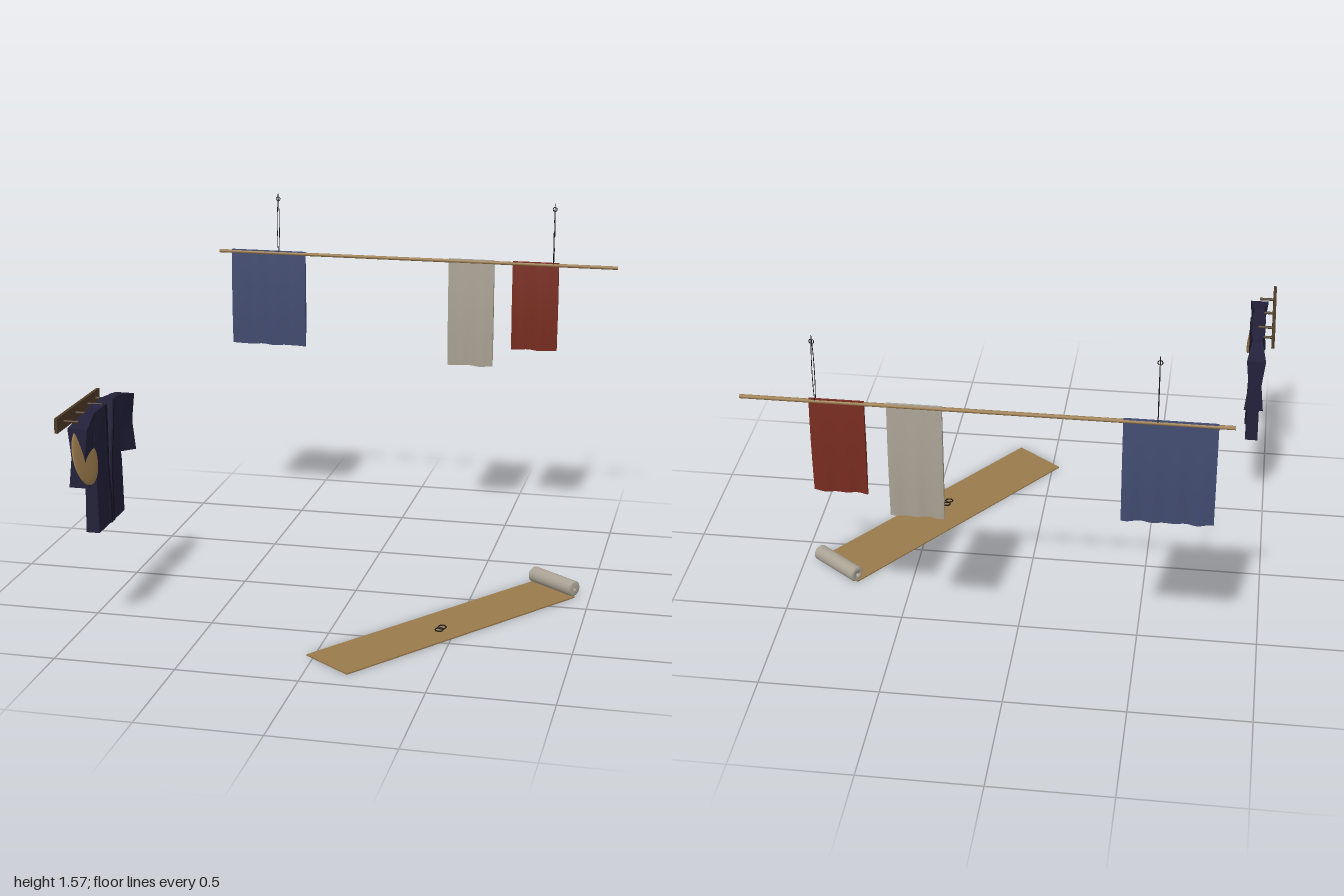
import * as THREE from 'three';

const mat = (name, color) => {
  const m = new THREE.MeshStandardMaterial({ color });
  m.name = name;
  return m;
};
const lerp = THREE.MathUtils.lerp;

export function createModel() {
  const root = new THREE.Group();
  const tan = mat('bamboo tan', 0x9a7a4c);
  const blue = mat('indigo cloth', 0x424c70);
  const white = mat('undyed cloth', 0xaaa294);
  const red = mat('rust cloth', 0x782c20);
  const navy = mat('navy robe', 0x23213a);
  const lapelDark = mat('dark collar', 0x181628);
  const brown = mat('dark wood', 0x4c3a26);
  const black = mat('black cord', 0x1c1c1c);

  const add = (parent, name, geo, material, x = 0, y = 0, z = 0) => {
    const mesh = new THREE.Mesh(geo, material);
    mesh.name = name;
    mesh.position.set(x, y, z);
    parent.add(mesh);
    return mesh;
  };
  const deform = (geo, rule) => {
    const p = geo.attributes.position;
    for (let i = 0; i < p.count; i++) p.setXYZ(i, ...rule(p.getX(i), p.getY(i), p.getZ(i)));
    geo.computeVertexNormals();
    return geo;
  };

  // Hanging pole with cloths and cord loops
  const line = new THREE.Group();
  line.name = 'clothLine';
  line.position.z = -0.9;
  root.add(line);
  add(line, 'pole', new THREE.CylinderGeometry(0.008, 0.008, 1.86, 12), tan, 0.07, 1.29).rotation.z = Math.PI / 2;

  const cloth = (name, x0, x1, bottom, material) => {
    const geo = deform(new THREE.BoxGeometry(1, 1, 1, 32, 20, 1), (px, py, pz) => {
      const t = 0.5 - py;
      const x = lerp(x0, x1, px + 0.5);
      const half = 0.004 + 0.007 * Math.sin(Math.PI * t);
      const wave = 0.004 * t * Math.sin(x * 70);
      return [x, lerp(1.301, bottom, t) + 0.002 * t * Math.sin(x * 45), 2 * pz * half + wave];
    });
    add(line, name, geo, material);
  };
  cloth('blueCloth', -0.8, -0.447, 0.852, blue);
  cloth('paleCloth', 0.23, 0.44, 0.802, white);
  cloth('redCloth', 0.525, 0.735, 0.892, red);

  const side = [[1.31, 0.009], [1.36, 0.016], [1.42, 0.018], [1.49, 0.014], [1.545, 0.005]];
  const loopPoints = [[1.281, 0], ...side, [1.57, 0], ...side.map(([y, z]) => [y, -z]).reverse()];
  for (const x of [-0.575, 0.71]) {
    const path = new THREE.CatmullRomCurve3(loopPoints.map(([y, z]) => new THREE.Vector3(0, y, z)), true);
    add(line, 'hangingCord', new THREE.TubeGeometry(path, 60, 0.0015, 5, true), black, x);
    add(line, 'cordRing', new THREE.TorusGeometry(0.009, 0.002, 6, 20), black, x, 1.545);
  }

  // Unrolled mat with its rolled end
  const matGroup = new THREE.Group();
  matGroup.name = 'unrolledMat';
  matGroup.position.set(0.836, 0, -0.198);
  matGroup.rotation.y = -0.6435;
  root.add(matGroup);
  add(matGroup, 'matSheet', new THREE.BoxGeometry(0.25, 0.006, 1.278), tan, 0, 0.003, 0.639);
  const h = 0.125;
  const rollProfile = [[0.008, -h], [0.028, -h], [0.034, -h + 0.006], [0.034, h - 0.006], [0.028, h], [0.008, h], [0.008, -h]];
  const roll = new THREE.LatheGeometry(rollProfile.map(([r, y]) => new THREE.Vector2(r, y)), 28);
  add(matGroup, 'matRoll', roll, white, 0, 0.04).rotation.z = Math.PI / 2;

  // Small cord tied in a figure of eight on the mat
  for (const [x, z] of [[0.447, 0.361], [0.44, 0.39]]) {
    add(root, 'cordLoop', new THREE.TorusGeometry(0.016, 0.003, 6, 24), black, x, 0.012, z).rotation.x = Math.PI / 2 + 0.12;
  }

  // Peg rack
  const rack = new THREE.Group();
  rack.name = 'pegRack';
  root.add(rack);
  add(rack, 'rackBoard', new THREE.BoxGeometry(0.013, 0.06, 0.475), brown, -0.9935, 0.93, 0.657);
  for (const z of [0.465, 0.555, 0.69, 0.82]) {
    add(rack, 'peg', new THREE.CylinderGeometry(0.006, 0.006, 0.065, 10), brown, -0.96, 0.93, z).rotation.z = Math.PI / 2;
  }

  // Robe: two mirrored halves, each a body panel and a sleeve
  const robe = new THREE.Group();
  robe.name = 'robe';
  root.add(robe);
  const halfDepth = (d, y) => {
    const shoulder = d < 0.14 ? lerp(0.036, 0.019, d / 0.14) : lerp(0.019, 0.041, (d - 0.14) / 0.14);
    return y < 0.66 ? lerp(0.028, 0.024, (y - 0.43) / 0.23) : lerp(0.022, shoulder, (y - 0.66) / 0.28);
  };
  const sleeveDepth = (d, y) => lerp(0.018, 0.028 + 0.014 * Math.abs(y - 0.79) / 0.13, (d - 0.13) / 0.15);
  const topEdge = (d) => (d < 0.15 ? 0.945 - 0.01 * (d / 0.15) : lerp(0.935, 0.908, (d - 0.15) / 0.13));
  const neck = (y) => 0.003 + 0.034 * Math.max(0, (y - 0.55) / 0.39);
  const panel = (s, inner, outer, bottom, depth) =>
    deform(new THREE.BoxGeometry(1, 1, 1, 2, 16, 14), (px, py, pz) => {
      const t = 0.5 + s * pz;
      const flat = lerp(inner(0.8), outer, t);
      const y = lerp(bottom(flat), topEdge(flat), py + 0.5);
      const d = lerp(inner(y), outer, t);
      return [-0.927 + 2 * px * depth(d, y), y, 0.56 + s * d];
    });
  for (const s of [1, -1]) {
    add(robe, 'robeBody', panel(s, neck, 0.15, () => 0.435, halfDepth), navy);
    add(robe, 'robeSleeve', panel(s, () => 0.13, 0.28, (d) => lerp(0.695, 0.665, (d - 0.13) / 0.15), sleeveDepth), navy);
    // Collar band following the neck edge
    const band = deform(new THREE.BoxGeometry(1, 1, 1, 1, 16, 1), (px, py, pz) => {
      const y = lerp(0.437, 0.945, py + 0.5);
      const d = neck(y) + 0.018 * (0.5 + s * pz);
      return [-0.927 + halfDepth(d, y) + 0.002 + px * 0.008, y, 0.56 + s * d];
    });
    add(robe, 'robeCollar', band, lapelDark);
  }
  add(robe, 'robeBack', new THREE.BoxGeometry(0.008, 0.48, 0.1), navy, -0.946, 0.68, 0.56);

  // Round straw hat leaning into the sleeve
  const hat = add(root, 'strawHat', new THREE.SphereGeometry(0.115, 36, 20), tan, -0.913, 0.785, 0.803);
  hat.scale.set(0.11, 1, 1);
  hat.rotation.z = 0.26;

  return root;
}
